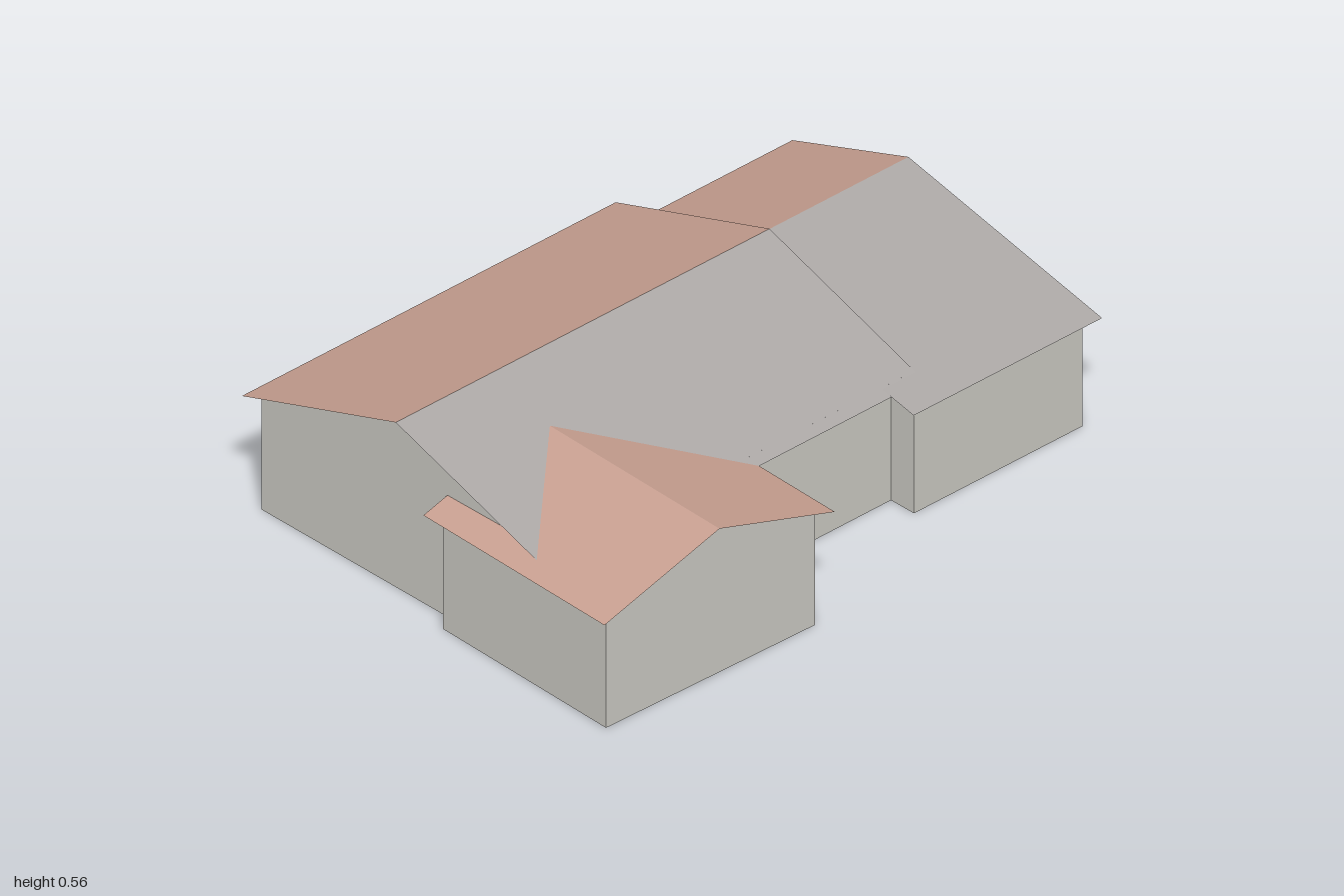
import * as THREE from 'three';

const clay = new THREE.MeshStandardMaterial({ color: 0xc8a091, side: THREE.DoubleSide });
clay.name = 'clay roof';
const slate = new THREE.MeshStandardMaterial({ color: 0xaba7a5, side: THREE.DoubleSide });
slate.name = 'grey roof';
const plaster = new THREE.MeshStandardMaterial({ color: 0xc8c7c0, side: THREE.DoubleSide });
plaster.name = 'wall plaster';

// One flat polygon, fanned from its first corner
function panel(name, points, material) {
  const positions = [];
  for (let i = 1; i < points.length - 1; i++) {
    for (const p of [points[0], points[i], points[i + 1]]) positions.push(...p);
  }
  const geometry = new THREE.BufferGeometry();
  geometry.setAttribute('position', new THREE.Float32BufferAttribute(positions, 3));
  geometry.computeVertexNormals();
  const mesh = new THREE.Mesh(geometry, material);
  mesh.name = name;
  return mesh;
}

// A gabled wing: each roof line is [x, z] at its start and end.
// u runs along the ridge (0..1), v across it (-1 rear eave, 0 ridge, 1 front eave).
function gabledWing({ name, rear, ridge, front, ridgeY, eaveY, insetU, insetRear, insetFront, rearRoof, frontRoof }) {
  const lerp = THREE.MathUtils.lerp;
  const at = (u, v, onGround = false) => {
    const eave = v < 0 ? rear : front;
    const t = Math.abs(v);
    const [x, z] = [0, 1].map((k) =>
      lerp(lerp(ridge[0][k], ridge[1][k], u), lerp(eave[0][k], eave[1][k], u), t));
    return [x, onGround ? 0 : lerp(ridgeY, eaveY, t), z];
  };
  const u0 = insetU, u1 = 1 - insetU, v0 = insetRear - 1, v1 = 1 - insetFront;

  const group = new THREE.Group();
  group.name = name;
  group.add(
    // Thin roof slopes
    panel('rearRoofSlope', [at(0, -1), at(0, 0), at(1, 0), at(1, -1)], rearRoof),
    panel('frontRoofSlope', [at(0, 0), at(0, 1), at(1, 1), at(1, 0)], frontRoof),
    // Walls under the eaves
    panel('frontWall', [at(u0, v1, true), at(u1, v1, true), at(u1, v1), at(u0, v1)], plaster),
    panel('rearWall', [at(u1, v0, true), at(u0, v0, true), at(u0, v0), at(u1, v0)], plaster),
    // Gable end walls
    panel('startGable', [at(u0, v0, true), at(u0, v1, true), at(u0, v1), at(u0, 0), at(u0, v0)], plaster),
    panel('endGable', [at(u1, v1, true), at(u1, v0, true), at(u1, v0), at(u1, 0), at(u1, v1)], plaster),
  );
  return group;
}

export function createModel() {
  const house = new THREE.Group();
  house.name = 'house';
  house.add(
    gabledWing({
      name: 'mainBlock',
      rear: [[-0.97, -0.72], [0.4, -0.755]],
      ridge: [[-0.955, -0.125], [0.415, -0.16]],
      front: [[-0.94, 0.475], [0.43, 0.438]],
      ridgeY: 0.558, eaveY: 0.36, insetU: 0.027, insetRear: 0.062, insetFront: 0.062,
      rearRoof: clay, frontRoof: slate,
    }),
    gabledWing({
      name: 'sideWing',
      rear: [[0.275, -0.664], [0.967, -0.682]],
      ridge: [[0.288, -0.217], [0.98, -0.235]],
      front: [[0.31, 0.53], [1.0, 0.513]],
      ridgeY: 0.503, eaveY: 0.345, insetU: 0.053, insetRear: 0.083, insetFront: 0.05,
      rearRoof: clay, frontRoof: slate,
    }),
    // Its ridge runs front to back, so its slopes face left and right
    gabledWing({
      name: 'frontWing',
      rear: [[-1.0, 0.755], [-1.0, 0.035]],
      ridge: [[-0.588, 0.755], [-0.588, 0.035]],
      front: [[-0.175, 0.755], [-0.175, 0.035]],
      ridgeY: 0.487, eaveY: 0.36, insetU: 0.05, insetRear: 0.092, insetFront: 0.092,
      rearRoof: clay, frontRoof: clay,
    }),
  );
  return house;
}
